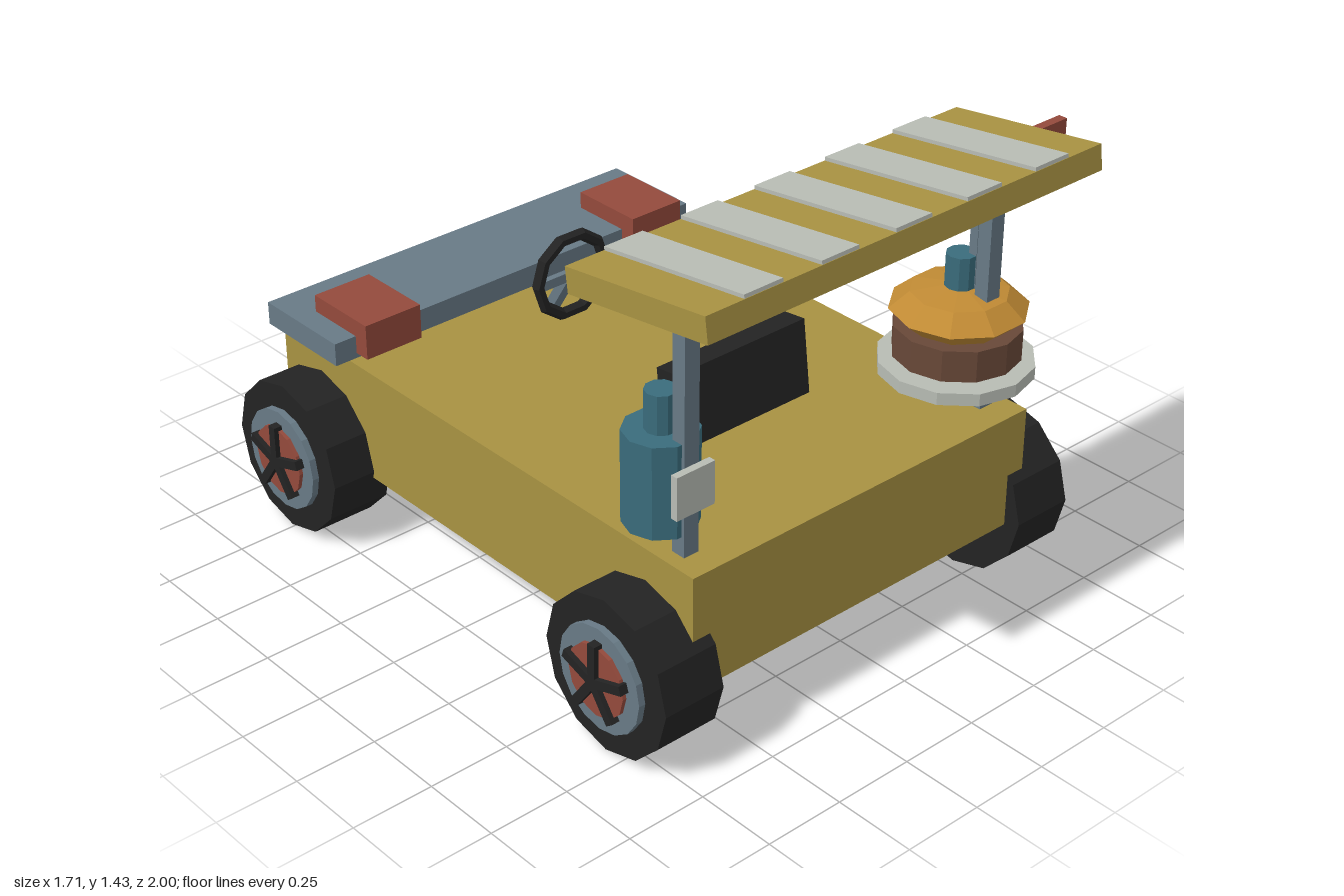
import * as THREE from 'three';

const mat = (name, color) => {
  const m = new THREE.MeshStandardMaterial({ color, flatShading: true });
  m.name = name;
  return m;
};

export function createModel() {
  const gold = mat('bodyGold', 0xa89242);
  const steel = mat('steelGrey', 0x687a86);
  const black = mat('rubberBlack', 0x232323);
  const red = mat('brickRed', 0x944a3c);
  const pale = mat('paleGrey', 0xb8bcb4);
  const teal = mat('tankTeal', 0x3a6c7c);
  const amber = mat('amber', 0xc08a34);
  const brown = mat('brown', 0x684838);
  const tan = mat('padTan', 0x857232);

  const model = new THREE.Group();
  model.name = 'buggy';
  const CX = -0.04; // centre line of the body

  const add = (name, geo, material, x, y, z, parent = model) => {
    const mesh = new THREE.Mesh(geo, material);
    mesh.name = name;
    mesh.position.set(x, y, z);
    parent.add(mesh);
    return mesh;
  };
  const box = (name, material, w, h, d, x, y, z, parent) =>
    add(name, new THREE.BoxGeometry(w, h, d), material, x, y, z, parent);
  // upright prism with a corner on the x axis
  const prism = (name, material, r, sides, y0, y1, x, z) =>
    add(name, new THREE.CylinderGeometry(r, r, y1 - y0, sides).rotateY(Math.PI / 2),
      material, x, (y0 + y1) / 2, z);
  const group = (name, x, y, z) => {
    const g = new THREE.Group();
    g.name = name;
    g.position.set(x, y, z);
    model.add(g);
    return g;
  };

  // body, hood and lamps
  box('body', gold, 1.26, 0.36, 1.81, CX, 0.398, -0.035);
  box('hood', steel, 1.356, 0.072, 0.337, CX, 0.614, -0.777);
  for (const s of [-1, 1])
    box('lamp', red, 0.195, 0.11, 0.25, CX + s * 0.507, 0.649, -0.681);

  // wheels: outer side points along local +x
  const disc = (r, w, sides) => new THREE.CylinderGeometry(r, r, w, sides).rotateZ(-Math.PI / 2);
  for (const s of [-1, 1]) {
    for (const z of [0.684, -0.76]) {
      const wheel = group('wheel', CX + s * 0.67, 0.24, z);
      if (s < 0) wheel.rotation.y = Math.PI;
      add('tyre', disc(0.24, 0.2, 12), black, 0, 0, 0, wheel);
      add('rim', disc(0.16, 0.06, 16), steel, 0.091, 0, 0, wheel);
      add('hub', disc(0.11, 0.06, 12), red, 0.103, 0, 0, wheel);
      for (let i = 0; i < 5; i++) {
        const geo = new THREE.BoxGeometry(0.03, 0.12, 0.028)
          .translate(0, 0.06, 0).rotateX(i * Math.PI * 2 / 5);
        add('spoke', geo, black, 0.133, 0, 0, wheel);
      }
    }
  }

  // tilted canopy with stripes
  const canopy = group('canopy', CX, 1.346, 0.738);
  canopy.rotation.x = -0.138;
  box('canopyPanel', gold, 1.415, 0.075, 0.52, 0, 0, 0, canopy);
  for (let i = -2; i <= 2; i++)
    box('stripe', pale, 0.128, 0.012, 0.516, i * 0.258, 0.0425, 0, canopy);

  // canopy posts, plate and flag
  for (const x of [-0.6, 0.515])
    box('post', steel, 0.05, 0.74, 0.046, x, 0.94, 0.762);
  box('plate', pale, 0.13, 0.13, 0.022, -0.605, 0.785, 0.796);
  box('flagPole', steel, 0.03, 0.765, 0.028, 0.525, 0.962, 0.706);
  box('flag', red, 0.31, 0.21, 0.028, 0.695, 1.237, 0.706);

  // gas tanks
  for (const x of [-0.607, 0.5]) {
    prism('tank', teal, 0.105, 10, 0.638, 0.915, x, 0.675);
    prism('tankNeck', teal, 0.045, 10, 0.915, 1.03, x, 0.675);
  }

  // domed drum around the left tank
  prism('drumTray', pale, 0.2265, 12, 0.668, 0.706, 0.5, 0.675);
  prism('drum', brown, 0.186, 12, 0.72, 0.816, 0.5, 0.675);
  add('dome', new THREE.SphereGeometry(0.2, 10, 4).scale(1, 0.36, 1), amber, 0.5, 0.864, 0.675);

  // leaning seat back with pad
  const seat = group('seat', CX, 0.575, 0.358);
  seat.rotation.x = -0.125;
  box('seatBack', black, 0.478, 0.23, 0.084, 0, 0.112, 0, seat);
  box('seatPad', tan, 0.365, 0.185, 0.03, 0, 0.108, -0.054, seat);

  // steering wheel and column
  const steering = group('steering', CX, 0.738, -0.36);
  add('steeringRim', new THREE.TorusGeometry(0.126, 0.019, 6, 10), black, 0, 0, 0, steering);
  box('steeringBar', steel, 0.23, 0.03, 0.02, 0, 0, 0, steering);
  const column = box('steeringColumn', steel, 0.038, 0.21, 0.03, 0, -0.085, -0.056, steering);
  column.rotation.x = 0.56;

  return model;
}
